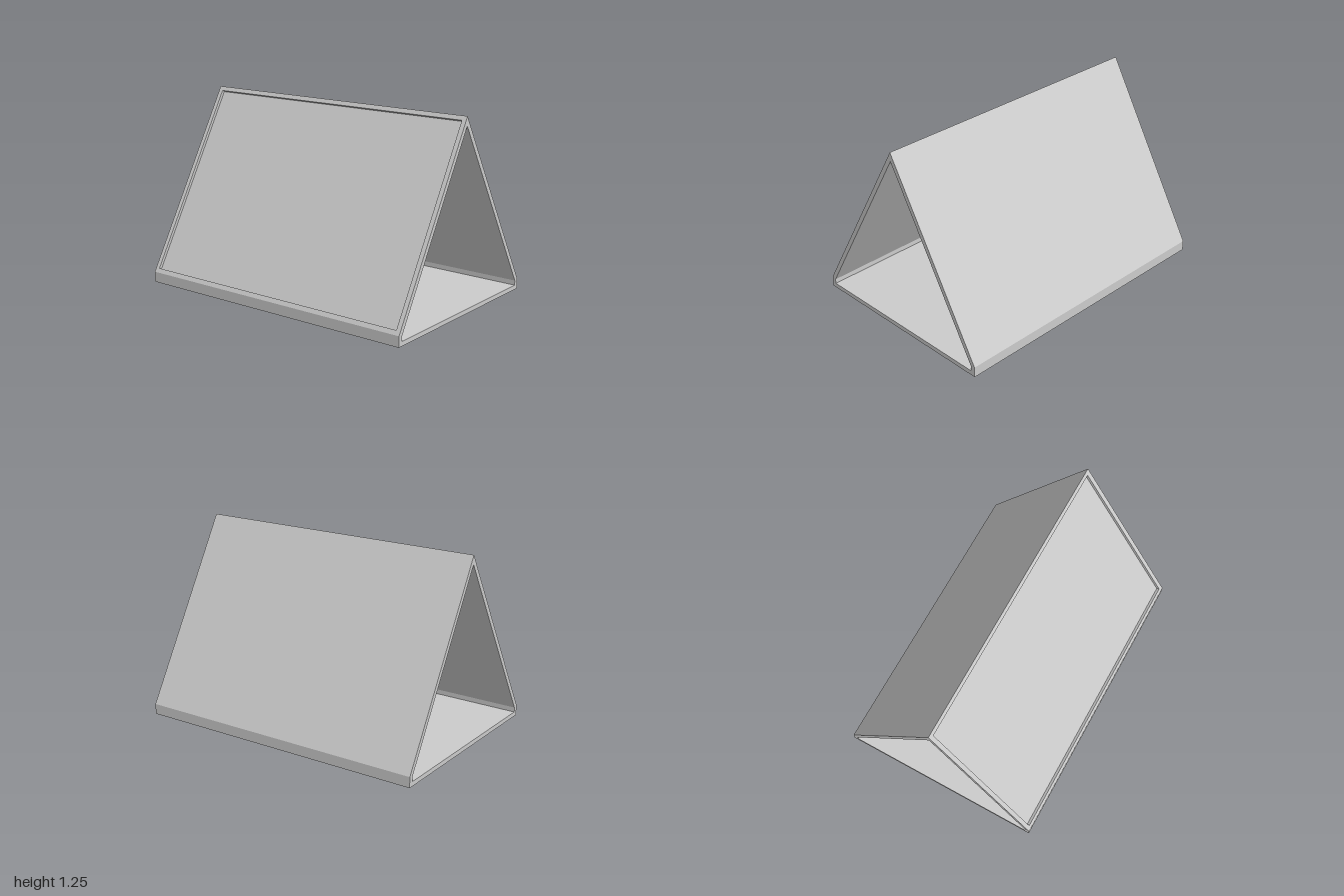
import * as THREE from 'three';

const HALF = 1;      // half length along x
const MARGIN = 0.03; // rim width around the recess
const DEPTH = 0.02;  // recess depth

// Profiles as [z, y], from the front foot over the ridge to the back foot
const outer = [[0.685, 0], [0.685, 0.07], [0, 1.25], [-0.685, 0.07], [-0.685, 0]];
const inner = [[0.655, 0.03], [0.655, 0.062], [0, 1.19], [-0.655, 0.062], [-0.655, 0.03]];

// Flat quads, corners counter-clockwise seen from the front
function quads(list) {
  const pos = list.flatMap(([a, b, c, d]) => [a, b, c, a, c, d].flat());
  const geo = new THREE.BufferGeometry();
  geo.setAttribute('position', new THREE.Float32BufferAttribute(pos, 3));
  geo.computeVertexNormals();
  return geo;
}

// Strips of a profile swept along x; skip leaves out one edge
function sweep(profile, inward, skip = -1) {
  const list = [];
  profile.forEach((p, i) => {
    if (i === skip) return;
    const q = profile[(i + 1) % profile.length];
    const quad = [[-HALF, p[1], p[0]], [HALF, p[1], p[0]], [HALF, q[1], q[0]], [-HALF, q[1], q[0]]];
    list.push(inward ? quad.reverse() : quad);
  });
  return quads(list);
}

const toPoints = (pts) => pts.map(([x, y]) => new THREE.Vector2(x, y));

export function createModel() {
  const model = new THREE.Group();
  model.name = 'tentStand';
  const material = new THREE.MeshStandardMaterial({ color: 0xcccccc });
  const add = (parent, name, geo) => {
    const mesh = new THREE.Mesh(geo, material);
    mesh.name = name;
    parent.add(mesh);
    return mesh;
  };

  // Hollow shell; the front slope (edge 1) is made separately
  add(model, 'outerShell', sweep(outer, false, 1));
  add(model, 'innerShell', sweep(inner, true));

  // Ring-shaped end faces
  const ring = new THREE.Shape(toPoints(outer));
  ring.holes.push(new THREE.Path(toPoints(inner)));
  for (const side of [-1, 1]) {
    const end = add(model, side > 0 ? 'leftEnd' : 'rightEnd', new THREE.ShapeGeometry(ring));
    end.rotation.y = side * Math.PI / 2;
    end.position.x = side * HALF;
  }

  // Front slope: local y runs up the slope, local z points out of it
  const [foot, ridge] = [outer[1], outer[2]];
  const run = foot[0] - ridge[0], rise = ridge[1] - foot[1];
  const length = Math.hypot(run, rise);
  const slope = new THREE.Group();
  slope.name = 'frontSlope';
  slope.position.set(0, foot[1], foot[0]);
  slope.rotation.x = -Math.atan2(run, rise);
  model.add(slope);

  const rect = (m) => [[-HALF + m, m], [HALF - m, m], [HALF - m, length - m], [-HALF + m, length - m]];
  const opening = rect(MARGIN);
  const frame = new THREE.Shape(toPoints(rect(0)));
  frame.holes.push(new THREE.Path(toPoints(opening)));
  add(slope, 'frontFrame', new THREE.ShapeGeometry(frame));

  // Recess walls and floor
  add(slope, 'recessWalls', quads(opening.map((p, i) => {
    const q = opening[(i + 1) % 4];
    return [[...p, 0], [...p, -DEPTH], [...q, -DEPTH], [...q, 0]].reverse();
  })));
  add(slope, 'recessPanel', quads([opening.map((p) => [...p, -DEPTH])]));

  return model;
}
